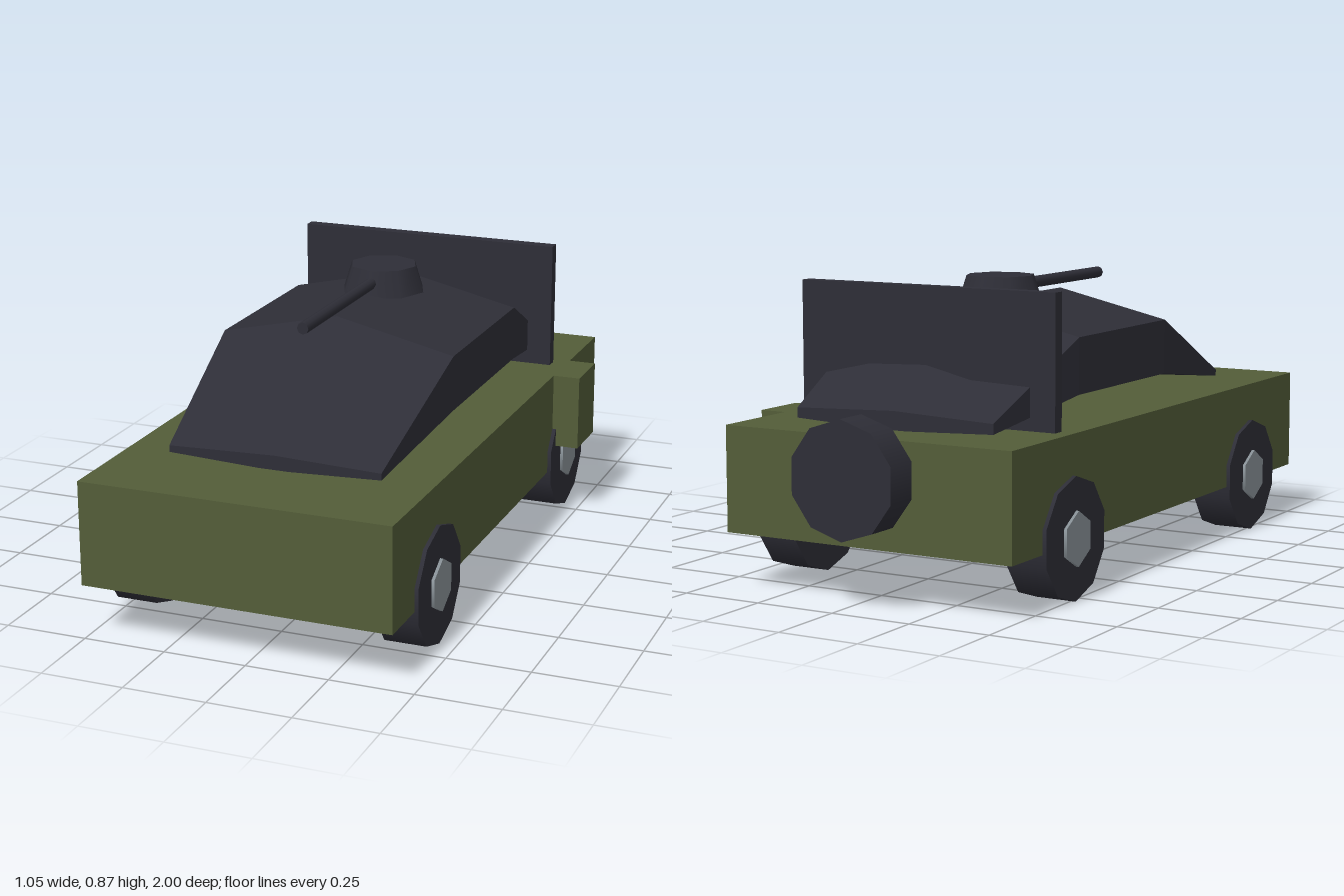
import * as THREE from 'three';

const CX = -0.033; // centreline of the vehicle

export function createModel() {
  const model = new THREE.Group();
  model.name = 'armouredVehicle';

  const olive = new THREE.MeshStandardMaterial({ color: 0x535d39 });
  olive.name = 'olive paint';
  const dark = new THREE.MeshStandardMaterial({ color: 0x2e2e37 });
  dark.name = 'dark steel';
  const darkFlat = new THREE.MeshStandardMaterial({ color: 0x2e2e37, flatShading: true });
  darkFlat.name = 'dark steel faceted';
  const grey = new THREE.MeshStandardMaterial({ color: 0x8b949a });
  grey.name = 'hub grey';

  function add(name, geometry, material, x, y, z) {
    const mesh = new THREE.Mesh(geometry, material);
    mesh.name = name;
    mesh.position.set(x, y, z);
    model.add(mesh);
    return mesh;
  }

  // Box given by its extents
  function box(name, material, x0, x1, y0, y1, z0, z1) {
    return add(name, new THREE.BoxGeometry(x1 - x0, y1 - y0, z1 - z0), material,
      (x0 + x1) / 2, (y0 + y1) / 2, (z0 + z1) / 2);
  }

  // Prism along x with a corner pointing up
  const disc = (r, width, sides) =>
    new THREE.CylinderGeometry(r, r, width, sides, 1, false, Math.PI / 2).rotateZ(Math.PI / 2);

  box('hull', olive, -0.503, 0.437, 0.163, 0.475, -0.885, 1);
  box('sideLocker', olive, 0.43, 0.522, 0.24, 0.475, -0.595, -0.42);
  box('rearPlate', dark, -0.457, 0.391, 0.47, 0.868, -0.562, -0.524);

  // Wheels and hubs
  for (const [end, z] of [['front', 0.663], ['rear', -0.545]]) {
    for (const [side, s] of [['Left', 1], ['Right', -1]]) {
      const x = CX + s * 0.419;
      add(`${end}${side}Wheel`, disc(0.179, 0.126, 10), dark, x, 0.179, z);
      add(`${end}${side}Hub`, disc(0.08, 0.144, 6), grey, x, 0.18, z);
    }
  }

  // Spare wheel behind the hull
  add('spareWheel', disc(0.17, 0.105, 10).rotateY(Math.PI / 2), dark, CX, 0.371, -0.9475);

  // Faceted turret lofted through hexagonal sections:
  // z, half width, ridge, shoulder, lower edge, keel
  const sections = [
    [0.715, 0.326, 0.518, 0.507, 0.487, 0.473],
    [0.245, 0.367, 0.8, 0.717, 0.55, 0.465],
    [-0.315, 0.367, 0.8, 0.717, 0.55, 0.465],
    [-0.735, 0.326, 0.53, 0.517, 0.487, 0.473],
  ];
  const positions = [];
  for (const [z, w, ridge, shoulder, low, keel] of sections) {
    positions.push(0, ridge, z, -w, shoulder, z, -w, low, z, 0, keel, z, w, low, z, w, shoulder, z);
  }
  const index = [];
  for (let k = 0; k < sections.length - 1; k++) {
    for (let i = 0; i < 6; i++) {
      const j = (i + 1) % 6;
      const a = k * 6, b = a + 6;
      index.push(a + i, b + i, a + j, a + j, b + i, b + j);
    }
  }
  const last = (sections.length - 1) * 6;
  for (let i = 1; i < 5; i++) {
    index.push(0, i, i + 1, last, last + i + 1, last + i);
  }
  const turret = new THREE.BufferGeometry();
  turret.setAttribute('position', new THREE.Float32BufferAttribute(positions, 3));
  turret.setIndex(index);
  turret.computeVertexNormals();
  add('turret', turret, darkFlat, CX, 0, 0);

  // Cupola and gun
  add('cupola', new THREE.CylinderGeometry(0.105, 0.131, 0.08, 8), dark, CX, 0.829, -0.134);
  add('gunBarrel', new THREE.CylinderGeometry(0.018, 0.018, 0.6, 8).rotateX(Math.PI / 2),
    dark, CX, 0.831, 0.2);

  return model;
}
